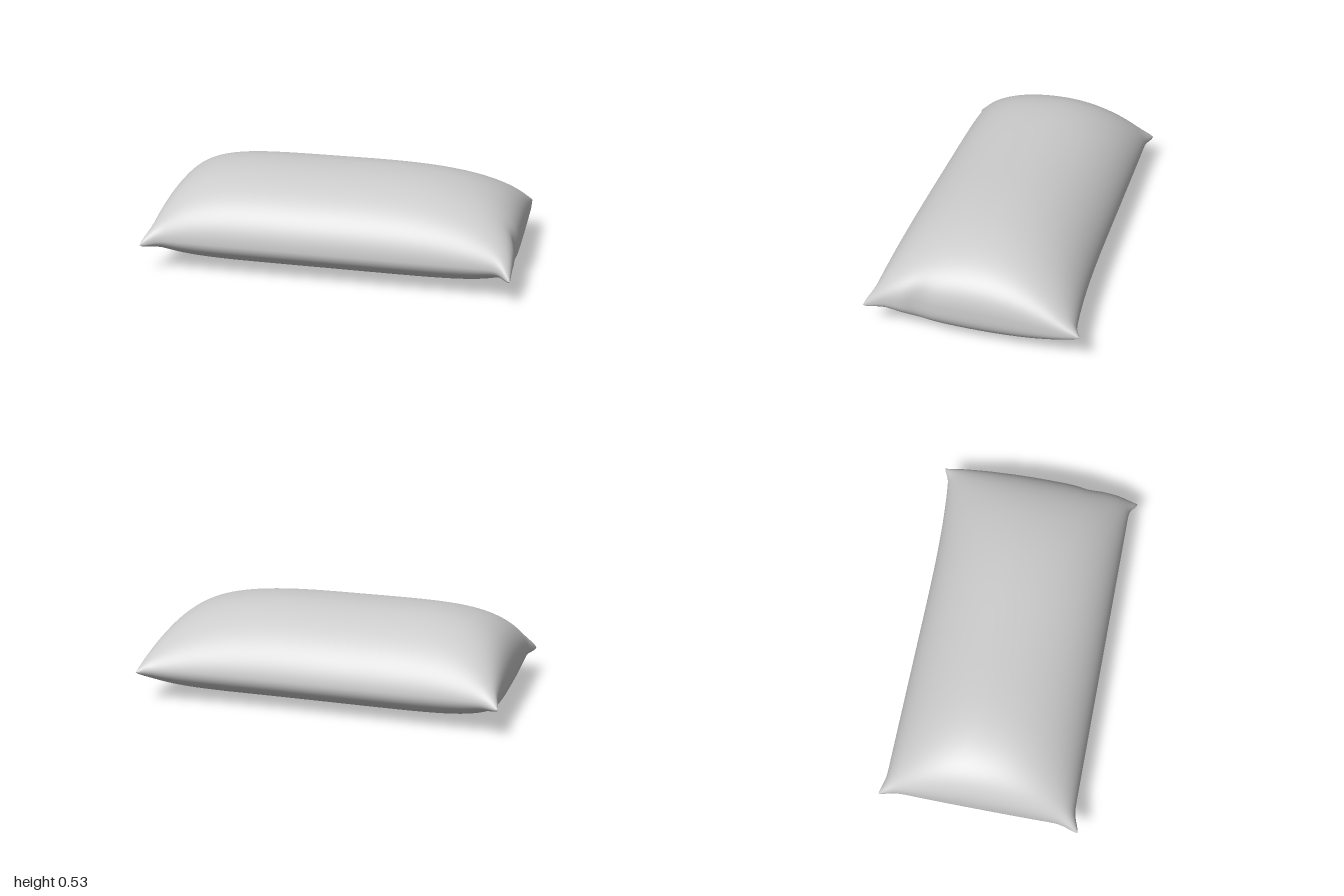
import * as THREE from 'three';
import { mergeGeometries, mergeVertices } from 'three/addons/utils/BufferGeometryUtils.js';

// Fullness falling from 1 in the middle to 0 at the seam
const bulge = (t, p, q) => Math.pow(Math.max(0, 1 - Math.pow(Math.abs(t), p)), q);
const ease = (t) => Math.sin(t * Math.PI / 2);

// Corner tips: side in x, side in z, and the pull outwards and downwards
const corners = [
  [-1, 1, -0.028, -0.02, 0.035],
  [-1, -1, -0.02, -0.015, -0.025],
  [1, 1, 0, -0.04, 0.04],
  [1, -1, -0.005, 0.0, -0.02],
];

// One half of the cushion: side 1 is the upper cloth, -1 the lower
function clothHalf(side) {
  const geo = new THREE.PlaneGeometry(2, 2, 72, 56).rotateX(-side * Math.PI / 2);
  const pos = geo.attributes.position;
  for (let i = 0; i < pos.count; i++) {
    const u = ease(pos.getX(i)), v = ease(pos.getZ(i));

    // Slightly uneven rectangular outline
    let x = u < 0 ? 0.975 * u : 0.987 * u;
    const back = 0.503 + 0.05 * Math.pow(Math.max(0, u), 3);
    let z = v > 0 ? 0.532 * v : back * v;
    x -= 0.018 * Math.exp(-(((z - 0.28) / 0.06) ** 2)) * Math.pow(Math.max(0, u), 30);

    // Rounded filling, fuller above the seam than below
    let y = 0.185;
    if (side > 0) {
      const along = u < 0 ? bulge(u, 5, 0.4) : bulge(u, 3, 0.38);
      const across = v > 0 ? bulge(v, 2.2, 0.5) : bulge(v, 2, 0.58);
      y += 0.342 * along * across;
    } else {
      y -= 0.183 * bulge(u, 6, 0.4) * bulge(v, 2.2, 0.5);
    }

    // Pinched corner tips
    for (const [sx, sz, dx, dy, dz] of corners) {
      const d2 = ((u - sx) * 0.98) ** 2 + ((v - sz) * 0.53) ** 2;
      const w = Math.exp(-d2 / 0.0025);
      x += dx * w;
      y += dy * w;
      z += dz * w;
    }
    pos.setXYZ(i, x, y, z);
  }
  geo.deleteAttribute('uv');
  geo.deleteAttribute('normal');
  return geo;
}

export function createModel() {
  const group = new THREE.Group();
  group.name = 'pillow';

  // Both halves welded along the seam for smooth shading
  const geo = mergeVertices(mergeGeometries([clothHalf(1), clothHalf(-1)]), 1e-5);
  geo.computeVertexNormals();
  geo.computeBoundingBox();
  geo.translate(0, -geo.boundingBox.min.y, 0);

  const cushion = new THREE.Mesh(geo, new THREE.MeshStandardMaterial({ color: 0xcccccc }));
  cushion.name = 'cushion';
  group.add(cushion);
  return group;
}
